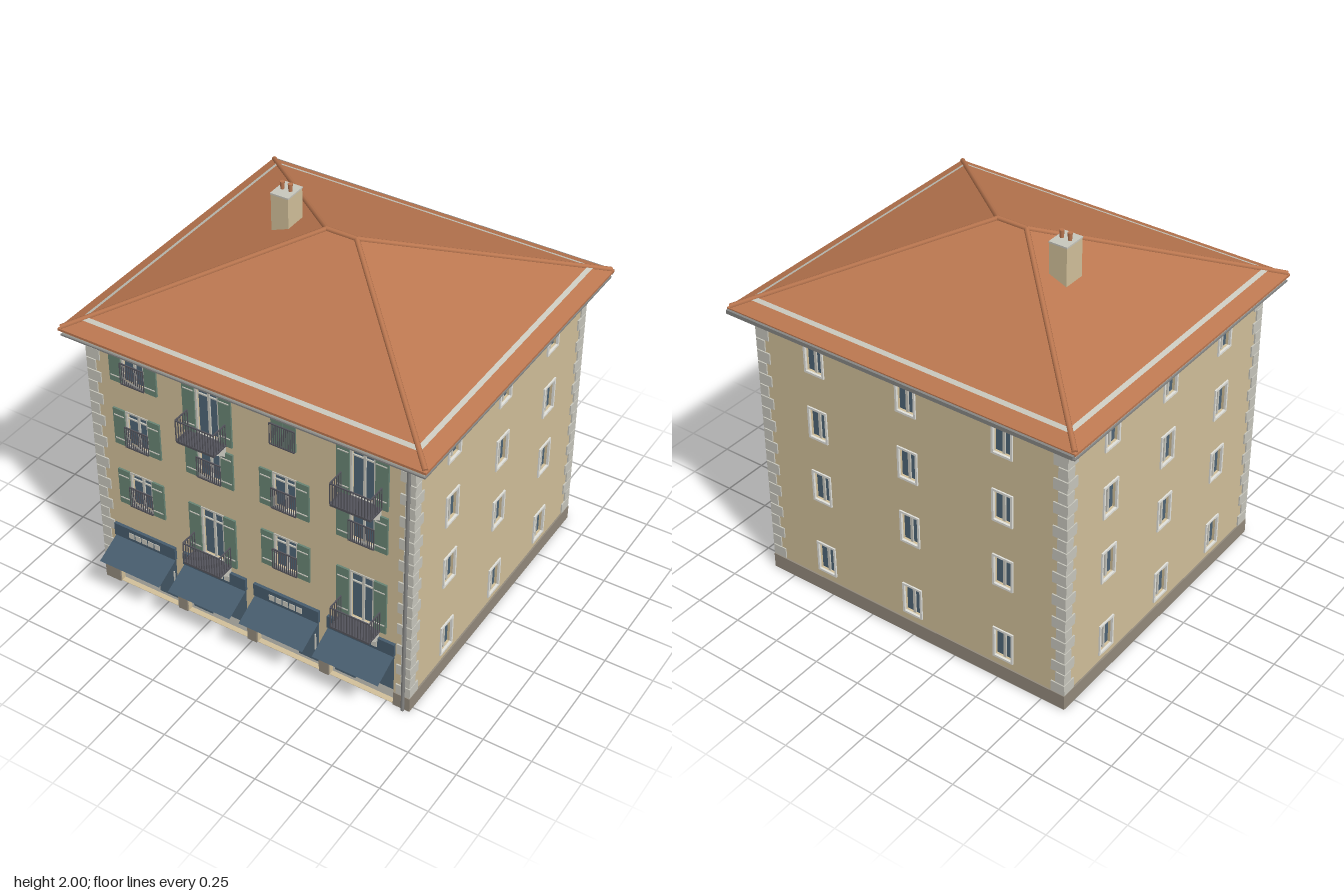
import * as THREE from 'three';

const mat = (name, color, side = THREE.FrontSide) => {
  const m = new THREE.MeshStandardMaterial({ color, side });
  m.name = name;
  return m;
};

export function createModel() {
  const D = THREE.DoubleSide;
  const M = {
    plaster: mat('cream plaster', 0xd2c09a, D),
    tile: mat('terracotta tile', 0xbb7750, D),
    stone: mat('pale stone', 0xc8c7bd, D),
    plinth: mat('plinth stone', 0x938a7c),
    glass: mat('blue glass', 0x4f6577, D),
    awning: mat('dark blue canvas', 0x475c6d, D),
    shutter: mat('green shutter paint', 0x688474),
    metal: mat('dark metal', 0x54545c),
    frame: mat('white frame paint', 0xe2e2dc),
    soffit: mat('grey soffit', 0x868684),
  };
  const model = new THREE.Group();
  model.name = 'townHouse';

  const add = (parent, name, geo, material, x = 0, y = 0, z = 0) => {
    const m = new THREE.Mesh(geo, material);
    m.name = name;
    m.position.set(x, y, z);
    parent.add(m);
    return m;
  };
  const box = (parent, name, material, w, h, d, x, y, z) =>
    add(parent, name, new THREE.BoxGeometry(w, h, d), material, x, y, z);
  const group = (parent, name, x = 0, y = 0, z = 0) => {
    const g = new THREE.Group();
    g.name = name;
    g.position.set(x, y, z);
    parent.add(g);
    return g;
  };
  const rectPath = (T, x0, y0, x1, y1) => {
    const p = new T();
    p.moveTo(x0, y0); p.lineTo(x1, y0); p.lineTo(x1, y1); p.lineTo(x0, y1); p.closePath();
    return p;
  };
  const quads = list => {
    const pos = [];
    for (const [a, b, c, d] of list) pos.push(...a, ...b, ...c, ...a, ...c, ...d);
    const g = new THREE.BufferGeometry();
    g.setAttribute('position', new THREE.Float32BufferAttribute(pos, 3));
    g.computeVertexNormals();
    return g;
  };
  // Flat border of outer size w x h and bar width t
  const border = (w, h, t, depth) => {
    const s = rectPath(THREE.Shape, -w / 2, -h / 2, w / 2, h / 2);
    s.holes.push(rectPath(THREE.Path, -w / 2 + t, -h / 2 + t, w / 2 - t, h / 2 - t));
    return new THREE.ExtrudeGeometry(s, { depth, bevelEnabled: false });
  };

  // Wall shell with openings [x, yLow, yHigh, halfWidth]; its outer face is local z = 0
  const wall = (name, width, openings, x, z, turn) => {
    const g = group(model, name, x, 0, z);
    g.rotation.y = turn;
    const s = rectPath(THREE.Shape, -width / 2, 0, width / 2, 1.5);
    for (const [ox, y0, y1, hw] of openings) s.holes.push(rectPath(THREE.Path, ox - hw, y0, ox + hw, y1));
    add(g, 'wallFace', new THREE.ExtrudeGeometry(s, { depth: 0.03, bevelEnabled: false }), M.plaster, 0, 0, -0.03);
    // Alternating corner stones
    for (const side of [-1, 1]) for (let i = 0; i < 22; i++) {
      const w = i % 2 ? 0.05 : 0.075;
      box(g, 'cornerStone', M.stone, w, 0.058, 0.008, side * (width / 2 + 0.006 - w / 2), 0.112 + i * 0.064, 0.003);
    }
    return g;
  };

  // Plain windows on the sides and back
  const sideRows = [0.207, 0.637, 1.003, 1.37];
  const plainWall = (name, width, cols, x, z, turn) => {
    const openings = cols.flatMap(c => sideRows.map(y => [c, y - 0.079, y + 0.079, 0.047]));
    const g = wall(name, width, openings, x, z, turn);
    for (const c of cols) for (const y of sideRows) {
      const w = group(g, 'window', c, y, 0);
      add(w, 'pane', new THREE.PlaneGeometry(0.1, 0.165), M.glass, 0, 0, -0.018);
      add(w, 'surround', border(0.114, 0.177, 0.011, 0.012), M.frame, 0, 0, -0.004);
      box(w, 'mullion', M.stone, 0.014, 0.158, 0.008, 0, 0, -0.013);
    }
    box(g, 'plinth', M.plinth, width + 0.016, 0.08, 0.012, 0, 0.04, 0.002);
  };
  plainWall('rightWall', 1.598, [-0.465, 0, 0.465], 0.87, -0.025, Math.PI / 2);
  plainWall('leftWall', 1.598, [-0.465, 0, 0.465], -0.87, -0.025, -Math.PI / 2);
  plainWall('backWall', 1.74, [-0.53, 0, 0.53], 0, -0.825, Math.PI);

  // Front layout: [x, yLow, yHigh, kind]
  const cols = [-0.612, -0.204, 0.204, 0.612];
  const layout = [];
  cols.forEach((x, i) => {
    layout.push([x, 0.912, 1.12, 'window']);
    if (i % 2) layout.push([x, 0.43, 0.727, 'door'], [x, 1.162, 1.458, 'door']);
    else layout.push([x, 0.546, 0.753, 'window'], [x, 1.283, 1.485, i === 2 ? 'closed' : 'window']);
  });
  const front = wall('frontWall', 1.74, [
    ...layout.map(([x, a, b]) => [x, a + 0.006, b - 0.006, 0.06]),
    ...cols.map(x => [x, 0.002, 0.315, 0.175]),
  ], 0, 0.775, 0);

  const railing = (parent, w, h, n) => {
    for (const y of [0, h]) box(parent, 'rail', M.metal, w, 0.006, 0.006, 0, y, 0);
    for (let i = 0; i <= n; i++) box(parent, 'baluster', M.metal, 0.004, h, 0.004, -w / 2 + (w * i) / n, h / 2, 0);
  };
  const bracketShape = new THREE.Shape([[0, 0], [0.07, 0], [0, -0.055]].map(p => new THREE.Vector2(...p)));

  for (const [x, y0, y1, kind] of layout) {
    const h = y1 - y0;
    const g = group(front, kind === 'door' ? 'balconyDoor' : 'frontWindow', x, y0, 0);
    if (kind === 'closed') {
      for (const s of [-1, 1]) box(g, 'closedShutter', M.shutter, 0.064, h, 0.01, s * 0.033, h / 2, 0.001);
    } else {
      add(g, 'pane', new THREE.PlaneGeometry(0.126, h), M.glass, 0, h / 2, -0.02);
      add(g, 'casement', border(0.13, h, 0.009, 0.01), M.stone, 0, h / 2, -0.006);
      box(g, 'mullion', M.stone, 0.012, h - 0.01, 0.008, 0, h / 2, -0.014);
      box(g, 'transom', M.stone, 0.12, 0.007, 0.007, 0, h * 0.76, -0.014);
      for (const s of [-1, 1]) {
        box(g, 'shutter', M.shutter, 0.066, h, 0.01, s * 0.099, h / 2, 0.005);
        for (const f of [0.17, 0.83]) box(g, 'shutterHinge', M.stone, 0.056, 0.005, 0.004, s * 0.097, h * f, 0.0115);
      }
    }
    if (kind !== 'door') {
      railing(group(g, 'windowRailing', 0, 0.006, 0.016), 0.132, 0.115, 12);
      continue;
    }
    // Balcony with three railings, floor and brackets
    const b = group(g, 'balcony', 0, 0.008, 0);
    box(b, 'floor', M.metal, 0.206, 0.008, 0.105, 0, -0.004, 0.055);
    railing(group(b, 'frontRailing', 0, 0.004, 0.107), 0.206, 0.115, 14);
    for (const s of [-1, 1]) {
      const side = group(b, 'sideRailing', s * 0.103, 0.004, 0.06);
      side.rotation.y = Math.PI / 2;
      railing(side, 0.09, 0.115, 5);
      const br = add(b, 'bracket', new THREE.ExtrudeGeometry(bracketShape, { depth: 0.016, bevelEnabled: false }),
        M.stone, s * 0.085 - 0.008, -0.025, 0);
      br.rotation.y = -Math.PI / 2;
      br.position.x += 0.016;
      box(b, 'bracketFace', M.metal, 0.014, 0.05, 0.006, s * 0.085, -0.05, 0.012);
    }
  }

  // Shops, alternately mirrored
  cols.forEach((x, i) => {
    const g = group(front, 'shop', x, 0, 0);
    const m = i % 2 ? -1 : 1;
    add(g, 'shopBacking', new THREE.PlaneGeometry(0.352, 0.315), M.stone, 0, 0.1575, -0.028);
    box(g, 'displayWindow', M.glass, 0.165, 0.25, 0.008, -m * 0.09, 0.19, -0.026);
    box(g, 'shopDoor', M.glass, 0.112, 0.29, 0.008, m * 0.102, 0.17, -0.026);
    box(g, 'narrowPane', M.glass, 0.014, 0.25, 0.008, m * 0.036, 0.19, -0.026);
    box(g, 'doorHandle', M.stone, 0.006, 0.1, 0.008, m * 0.142, 0.15, -0.02);
    add(g, 'innerGlass', new THREE.PlaneGeometry(0.35, 0.25), M.glass, 0, 0.19, -0.034);
    box(g, 'signBoard', M.awning, 0.362, 0.072, 0.016, 0, 0.354, 0.008);
    for (let k = -2; k <= 2; k++) box(g, 'signTile', M.stone, 0.031, 0.032, 0.004, k * 0.038, 0.352, 0.017);
    add(g, 'awning', quads([[[-0.178, 0.244, 0.15], [0.178, 0.244, 0.15], [0.178, 0.315, 0.005], [-0.178, 0.315, 0.005]]]), M.awning);
  });

  // Front plinth between the shops
  const edges = [-0.878, ...cols.flatMap(x => [x - 0.177, x + 0.177]), 0.878];
  for (let i = 0; i < edges.length; i += 2)
    box(front, 'frontPlinth', M.plinth, edges[i + 1] - edges[i], 0.08, 0.012, (edges[i] + edges[i + 1]) / 2, 0.04, 0.002);
  add(front, 'downpipe', new THREE.CylinderGeometry(0.009, 0.009, 1.49, 8), M.soffit, 0.845, 0.745, 0.014);

  // Eaves
  const ZC = -0.027, A = 0.965, B = 0.885, E = 1.53, H = 1.885, R = 0.08;
  const roof = group(model, 'roof', 0, 0, ZC);
  box(roof, 'soffit', M.soffit, 1.915, 0.008, 1.755, 0, 1.492, 0);
  box(roof, 'cornice', M.stone, 1.9, 0.026, 1.74, 0, 1.508, 0);
  box(roof, 'tileEdge', M.tile, 2 * A, 0.012, 2 * B, 0, 1.524, 0);
  box(roof, 'backGutter', M.soffit, 1.92, 0.02, 0.018, 0, 1.514, -0.889);

  // Four slopes between two inset distances; an inset of B reaches the ridge
  const slopes = (d0, d1, lift) => {
    const ring = d => {
      const y = E + ((H - E) * d) / B + lift;
      return [[-1, 1], [1, 1], [1, -1], [-1, -1]].map(([sx, sz]) => [sx * (A - d), y, sz * (B - d)]);
    };
    const p = ring(d0), q = ring(d1);
    return quads(p.map((_, i) => [p[i], p[(i + 1) % 4], q[(i + 1) % 4], q[i]]));
  };
  add(roof, 'tiledSlopes', slopes(0, B, 0), M.tile);
  add(roof, 'snowGuard', slopes(0.072, 0.094, 0.005), M.stone);

  // Hip and ridge caps
  const cap = (name, a, b) => {
    const p = new THREE.Vector3(...a), q = new THREE.Vector3(...b);
    const c = add(roof, name, new THREE.CylinderGeometry(0.013, 0.013, p.distanceTo(q), 8), M.tile);
    c.position.copy(p).add(q).multiplyScalar(0.5);
    c.quaternion.setFromUnitVectors(new THREE.Vector3(0, 1, 0), q.sub(p).normalize());
  };
  for (const sx of [-1, 1]) for (const sz of [-1, 1])
    cap('hipCap', [sx * (A - 0.01), E + 0.004, sz * (B - 0.01)], [sx * R, H, 0]);
  cap('ridgeCap', [-R, H, 0], [R, H, 0]);

  // Chimney
  const ch = group(model, 'chimney', -0.35, 0, -0.107);
  box(ch, 'stack', M.plaster, 0.095, 0.25, 0.12, 0, 1.83, 0);
  box(ch, 'chimneyCap', M.stone, 0.099, 0.008, 0.124, 0, 1.957, 0);
  for (const s of [-1, 1])
    add(ch, 'chimneyPot', new THREE.CylinderGeometry(0.012, 0.009, 0.04, 12), M.tile, s * 0.022, 1.98, 0);

  return model;
}
